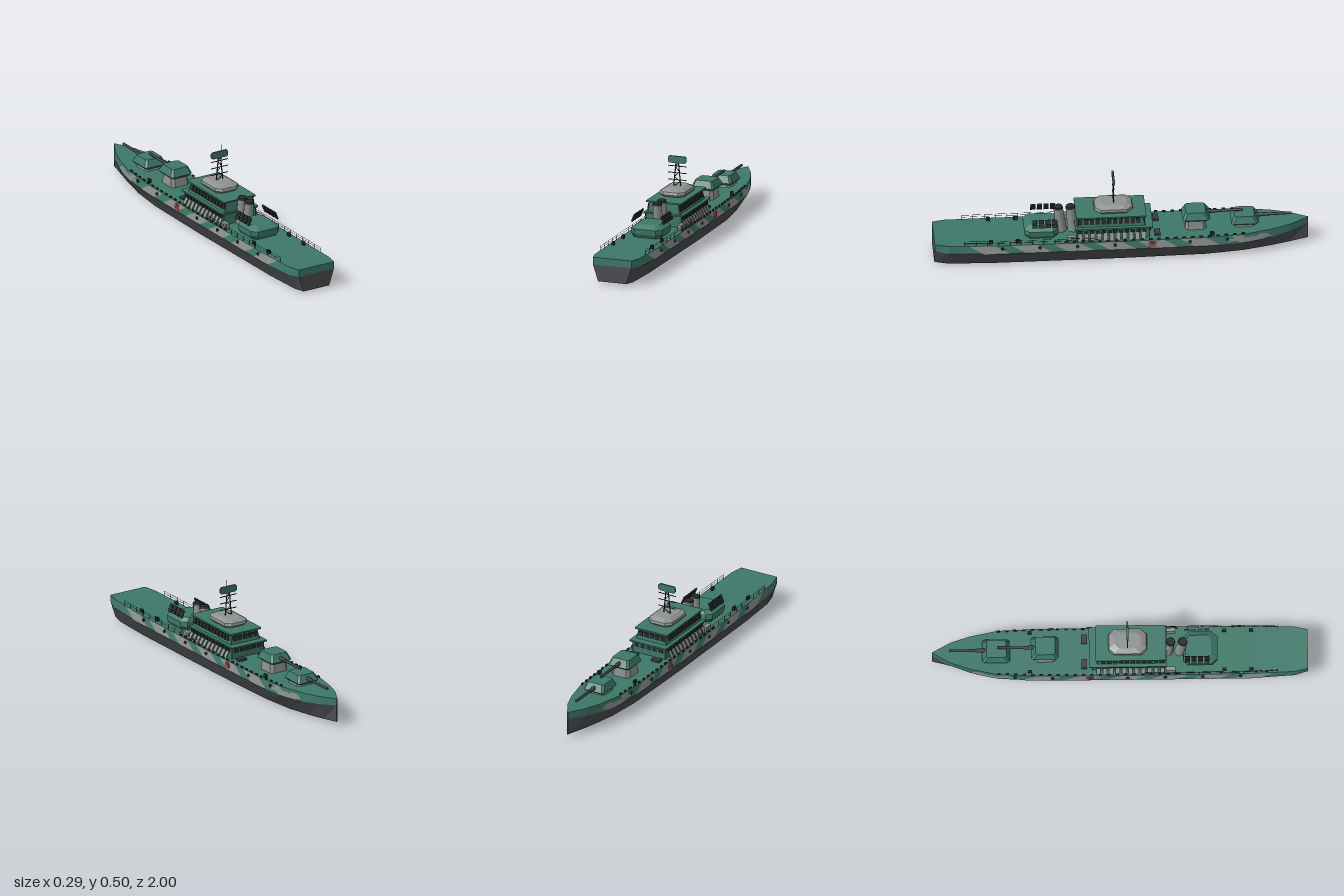
import * as THREE from 'three';

const mat = (name, color) => {
  const m = new THREE.MeshStandardMaterial({ color });
  m.name = name;
  return m;
};
const green = mat('sea green', 0x3d7868);
const slate = mat('lower hull grey', 0x4a4c50);
const grey = mat('light grey', 0x8d9291);
const dark = mat('dark fittings', 0x262d2c);
const steel = mat('gun steel', 0x3a3f41);
const red = mat('signal red', 0xb0432f);

// Hull stations: z, then half-width and height of bottom, waterline and deck edge
const STATIONS = [
  [1, 0.08, 0.01, 0.11, 0.1, 0.11, 0.14],
  [0.93, 0.092, 0.004, 0.132, 0.093, 0.127, 0.137],
  [0.7, 0.098, 0, 0.143, 0.087, 0.134, 0.133],
  [0, 0.1, 0, 0.143, 0.085, 0.136, 0.13],
  [-0.45, 0.092, 0, 0.14, 0.084, 0.133, 0.132],
  [-0.65, 0.07, 0, 0.128, 0.086, 0.124, 0.137],
  [-0.8, 0.042, 0.005, 0.094, 0.092, 0.092, 0.142],
  [-0.9, 0.02, 0.01, 0.058, 0.103, 0.058, 0.146],
  [-1, 0.002, 0.02, 0.002, 0.112, 0.002, 0.15],
];

function station(z) {
  let i = 0;
  while (i < STATIONS.length - 2 && STATIONS[i + 1][0] > z) i++;
  const a = STATIONS[i], b = STATIONS[i + 1];
  const t = (a[0] - z) / (a[0] - b[0]);
  return a.map((v, k) => v + (b[k] - v) * t);
}

// Point on the painted topside: v = 0 at the waterline, 1 at the deck edge
function topside(z, v, side = 1, out = 0) {
  const s = station(z);
  return [side * (s[3] + (s[5] - s[3]) * v + out), s[4] + (s[6] - s[4]) * v, z];
}

// Flat-shaded mesh from quads whose corners run anticlockwise
function quadMesh(name, material, quads) {
  const pos = [];
  for (const [a, b, c, d] of quads) pos.push(...a, ...b, ...c, ...a, ...c, ...d);
  const g = new THREE.BufferGeometry();
  g.setAttribute('position', new THREE.Float32BufferAttribute(pos, 3));
  g.computeVertexNormals();
  return named(name, g, material);
}

function named(name, geometry, material) {
  const m = new THREE.Mesh(geometry, material);
  m.name = name;
  return m;
}

// Stack of chamfered rectangles; each level is [y, halfWidth, zMin, zMax, chamfer]
function block(name, material, levels) {
  const rings = levels.map(([y, h, z0, z1, c = 0.004]) => [
    [h, y, z1 - c], [h, y, z0 + c], [h - c, y, z0], [c - h, y, z0],
    [-h, y, z0 + c], [-h, y, z1 - c], [c - h, y, z1], [h - c, y, z1]]);
  const quads = [];
  for (let l = 0; l < rings.length - 1; l++)
    for (let i = 0; i < 8; i++) {
      const j = (i + 1) % 8, a = rings[l], b = rings[l + 1];
      quads.push([a[i], a[j], b[j], b[i]]);
    }
  const t = rings[rings.length - 1], u = rings[0];
  for (const i of [1, 3, 5]) {
    quads.push([t[0], t[i], t[i + 1], t[(i + 2) % 8]]);
    quads.push([u[(i + 2) % 8], u[i + 1], u[i], u[0]]);
  }
  return quadMesh(name, material, quads);
}

function rod(name, material, a, b, r0, r1 = r0, sides = 6) {
  const p = new THREE.Vector3(...a), q = new THREE.Vector3(...b), d = q.clone().sub(p);
  const m = named(name, new THREE.CylinderGeometry(r1, r0, d.length(), sides), material);
  m.position.copy(p).add(q).multiplyScalar(0.5);
  m.quaternion.setFromUnitVectors(new THREE.Vector3(0, 1, 0), d.normalize());
  return m;
}

function box(name, material, size, at, rz = 0) {
  const m = named(name, new THREE.BoxGeometry(...size), material);
  m.position.set(...at);
  m.rotation.z = rz;
  return m;
}

// Hull shell between two edge columns, both sides
function shell(lo, hi) {
  const quads = [];
  for (let i = 0; i < STATIONS.length - 1; i++) {
    const p = (s, k, x) => [x * s[k], s[k + 1], s[0]];
    const a = STATIONS[i], b = STATIONS[i + 1];
    quads.push([p(a, lo, 1), p(b, lo, 1), p(b, hi, 1), p(a, hi, 1)]);
    quads.push([p(a, hi, -1), p(b, hi, -1), p(b, lo, -1), p(a, lo, -1)]);
    if (lo === 1) quads.push([p(b, 1, -1), p(b, 1, 1), p(a, 1, 1), p(a, 1, -1)]);
    else quads.push([p(a, 5, -1), p(a, 5, 1), p(b, 5, 1), p(b, 5, -1)]);
  }
  for (const s of [STATIONS[0], STATIONS[STATIONS.length - 1]]) {
    const q = [[-s[lo], s[lo + 1], s[0]], [s[lo], s[lo + 1], s[0]],
      [s[hi], s[hi + 1], s[0]], [-s[hi], s[hi + 1], s[0]]];
    quads.push(s[0] > 0 ? q : q.reverse());
  }
  return quads;
}

// Slanted paint patch laid over the topside
function patch(side, z, width, slant, v0 = 0, v1 = 1) {
  const quads = [], n = 6;
  const at = (i, v) => topside(z - (width * i) / n - slant * (1 - v), v, side, 0.0015);
  for (let i = 0; i < n; i++) {
    const q = [at(i, v0), at(i + 1, v0), at(i + 1, v1), at(i, v1)];
    quads.push(side > 0 ? q : q.reverse());
  }
  return quads;
}

function turret(name, z, y, base) {
  const g = new THREE.Group();
  g.name = name;
  g.add(block('turretBase', grey, [[0.13, 0.055, z - 0.055, z + 0.06, 0.015], [base, 0.05, z - 0.05, z + 0.055, 0.015]]));
  g.add(block('turretHouse', green, [[y, 0.055, z - 0.06, z + 0.065, 0.008],
    [y + 0.012, 0.066, z - 0.074, z + 0.074, 0.012], [y + 0.05, 0.05, z - 0.05, z + 0.055, 0.01]]));
  g.add(rod('gunSleeve', steel, [0, y + 0.027, z - 0.05], [0, y + 0.027, z - 0.11], 0.012, 0.01, 8));
  g.add(rod('gunBarrel', steel, [0, y + 0.027, z - 0.1], [0, y + 0.029, z - 0.25], 0.008, 0.007, 8));
  return g;
}

export function createModel() {
  const ship = new THREE.Group();
  ship.name = 'warship';
  const add = (...m) => ship.add(...m);

  // Hull and camouflage
  add(quadMesh('lowerHull', slate, shell(1, 3)), quadMesh('upperHull', green, shell(3, 5)));
  for (const s of [1, -1]) {
    const camo = [];
    for (let i = 0; i < 6; i++) camo.push(...patch(s, 0.82 - i * 0.225, 0.14, 0.08));
    camo.push(...patch(s, -0.58, 0.06, 0.05, 0.1, 0.95), ...patch(s, -0.61, 0.1, 0.06, 0, 0.55),
      ...patch(s, -0.59, 0.13, -0.05, 0.3, 0.6), ...patch(s, -0.7, 0.05, 0.06, 0.2, 0.7));
    add(quadMesh('camouflagePatches', grey, camo));

    // Emblem disc and portholes
    for (const [r, m, o] of [[0.022, red, 0.002], [0.015, grey, 0.004], [0.011, red, 0.006]]) {
      const p = topside(-0.16, 0.5, s, o);
      add(rod('sideRoundel', m, p, [p[0] + s * 0.002, p[1], p[2]], r, r, 16));
    }
    for (let i = 0; i < 7; i++) {
      const p = topside(0.64 - i * 0.2, 0.6, s, -0.003);
      add(rod('porthole', dark, p, [p[0] + s * 0.01, p[1], p[2]], 0.009, 0.009, 8));
    }

    // Deck railings and edge fittings
    for (let i = 0; i < 12; i++) {
      const a = topside(0.84 - i * 0.06, 1, s, -0.004), b = topside(0.78 - i * 0.06, 1, s, -0.004);
      const up = (p, h) => [p[0], p[1] + h, p[2]];
      add(rod('railPost', dark, a, up(a, 0.026), 0.0013, 0.0013, 4));
      for (const h of [0.014, 0.026]) add(rod('railWire', dark, up(a, h), up(b, h), 0.001, 0.001, 4));
    }
    for (let i = 0; i < 22; i++) {
      const p = topside(0.3 - i * 0.045, 1, s, -0.005);
      add(box('edgeCleat', dark, [0.006, 0.01, 0.018], [p[0], p[1] + 0.004, p[2]]));
    }
    for (const z of [0.7, 0.555, -0.48])
      add(box('bollard', dark, [0.012, 0.02, 0.022], [s * 0.11, 0.142, z]));
    add(box('deckHatch', steel, [0.05, 0.014, 0.03], [s * 0.07, 0.137, -0.19]));
    add(box('deckLocker', grey, [0.022, 0.03, 0.05], [s * 0.11, 0.145, 0.27]));

    // Slanted grey side panels below the first tier
    for (let i = 0; i < 11; i++)
      add(box('sidePanel', grey, [0.004, 0.042, 0.023], [s * 0.116, 0.15, 0.225 - i * 0.034], s * 0.52));

    // Window rows on both tiers
    for (let i = 0; i < 12; i++) {
      add(box('lowerWindow', dark, [0.008, 0.025, 0.023], [s * 0.104, 0.177, 0.222 - i * 0.031], s * -0.15));
      if (i < 11) add(box('upperWindow', dark, [0.008, 0.03, 0.023], [s * 0.09, 0.232, 0.222 - i * 0.031], s * 0.2));
    }

    // Leaning launcher panels beside the aft house
    for (let i = 0; i < 4; i++)
      for (let r = 0; r < 2; r++)
        add(box('launcherPanel', dark, [0.008, 0.02, 0.027],
          [s * (0.088 - r * 0.009), 0.216 + r * 0.022, 0.463 - i * 0.035], s * 0.4));
  }

  // Superstructure tiers with overhanging slabs
  add(block('lowerTier', green, [[0.125, 0.103, -0.15, 0.24], [0.195, 0.103, -0.15, 0.24]]));
  add(block('lowerSlab', green, [[0.193, 0.113, -0.165, 0.25], [0.201, 0.113, -0.165, 0.25]]));
  add(block('upperTier', green, [[0.2, 0.094, -0.125, 0.24], [0.258, 0.084, -0.115, 0.235]]));
  add(block('upperSlab', green, [[0.256, 0.1, -0.13, 0.245], [0.264, 0.1, -0.13, 0.245]]));
  for (let i = -2; i <= 2; i++) {
    add(box('bridgeWindow', dark, [0.028, 0.025, 0.008], [i * 0.037, 0.177, -0.15]));
    add(box('bridgeWindow', dark, [0.025, 0.028, 0.008], [i * 0.033, 0.232, -0.12]));
  }
  add(block('roofDome', grey, [[0.262, 0.062, -0.045, 0.13, 0.025], [0.277, 0.073, -0.062, 0.145, 0.03],
    [0.291, 0.071, -0.058, 0.14, 0.03], [0.305, 0.045, -0.03, 0.11, 0.025]]));

  // Lattice mast, yards, radar and whip aerial
  const leg = (s, t) => [s * (0.02 - 0.013 * t), 0.3 + 0.135 * t, 0.04];
  for (const s of [1, -1]) add(rod('mastLeg', dark, leg(s, 0), leg(s, 1), 0.003));
  for (let i = 0; i < 5; i++) {
    const s = i % 2 ? 1 : -1;
    add(rod('mastBrace', dark, leg(s, i / 5), leg(-s, (i + 1) / 5), 0.002));
  }
  for (const y of [0.337, 0.375, 0.412])
    add(rod('mastYard', steel, [-0.053, y, 0.04], [0.053, y, 0.04], 0.0025));
  const radar = block('radarPanel', green, [[-0.005, 0.052, -0.019, 0.019, 0.008], [0.005, 0.052, -0.019, 0.019, 0.008]]);
  radar.rotation.x = Math.PI / 2;
  radar.position.set(0, 0.448, 0.04);
  add(radar, rod('whipAerial', dark, [0.013, 0.44, 0.04], [0.013, 0.502, 0.04], 0.0012));

  // Twin funnels
  for (const z of [0.265, 0.33]) {
    add(rod('funnel', grey, [0, 0.13, z - 0.012], [0, 0.272, z + 0.004], 0.03, 0.025, 8));
    add(rod('funnelCap', dark, [0, 0.271, z + 0.004], [0, 0.283, z + 0.005], 0.027, 0.024, 8));
  }

  // Aft house
  add(block('aftHouse', green, [[0.13, 0.075, 0.35, 0.505, 0.02], [0.152, 0.088, 0.335, 0.518, 0.025],
    [0.18, 0.09, 0.338, 0.52, 0.03], [0.2, 0.062, 0.35, 0.485, 0.02]]));

  // Gun turrets
  add(turret('rearGunTurret', -0.4, 0.185, 0.187), turret('foreGunTurret', -0.66, 0.15, 0.152));
  return ship;
}
